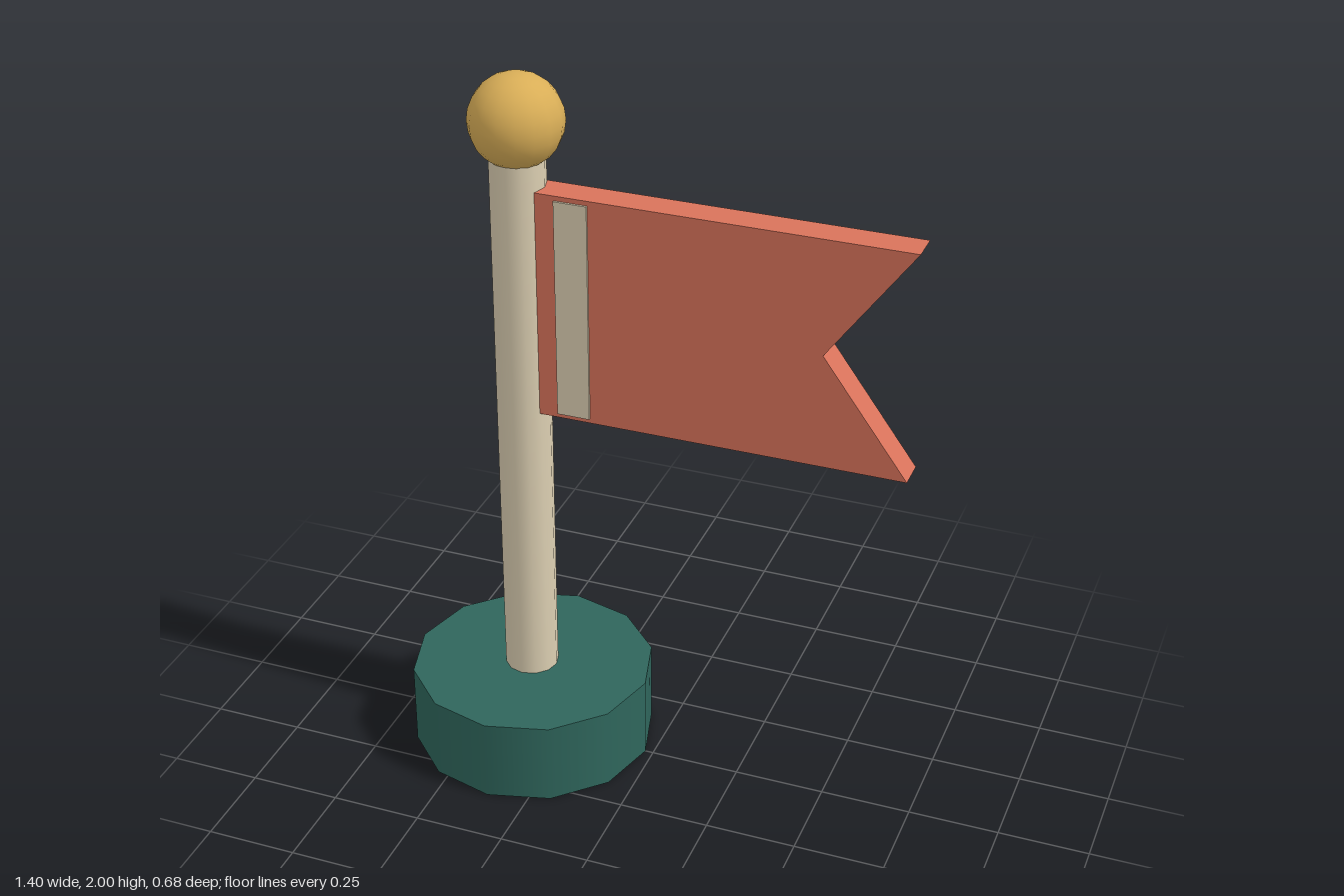
import * as THREE from 'three';

const material = (name, color) => {
  const m = new THREE.MeshStandardMaterial({ color });
  m.name = name;
  return m;
};

export function createModel() {
  const model = new THREE.Group();
  model.name = 'flagOnStand';
  const teal = material('teal', 0x2f665c);
  const cream = material('cream', 0xdccfb2);
  const gold = material('gold', 0xd9ae57);
  const coral = material('coral', 0xd9735b);

  const add = (name, geometry, mat, x, y, z = 0) => {
    const mesh = new THREE.Mesh(geometry, mat);
    mesh.name = name;
    mesh.position.set(x, y, z);
    model.add(mesh);
  };

  const poleX = -0.362;

  // Round stand, pole and finial share one axis
  add('base', new THREE.CylinderGeometry(0.339, 0.339, 0.236, 12), teal, poleX, 0.118);
  add('pole', new THREE.CylinderGeometry(0.074, 0.074, 1.58, 12), cream, poleX - 0.003, 1.0);
  add('finial', new THREE.SphereGeometry(0.125, 16, 12), gold, poleX - 0.003, 1.875);

  // Swallow-tailed flag
  const outline = new THREE.Shape([
    [-0.303, 1.068], [0.698, 1.068], [0.466, 1.386], [0.698, 1.704], [-0.303, 1.704],
  ].map(([x, y]) => new THREE.Vector2(x, y)));
  const thickness = 0.085;
  add('flag', new THREE.ExtrudeGeometry(outline, { depth: thickness, bevelEnabled: false }),
    coral, 0, 0, -thickness / 2);

  // Thin stripe on each face of the flag
  for (const side of [1, -1]) {
    add(side > 0 ? 'frontStripe' : 'backStripe', new THREE.BoxGeometry(0.09, 0.61, 0.008),
      cream, -0.205, 1.386, side * (thickness / 2 + 0.002));
  }

  return model;
}
